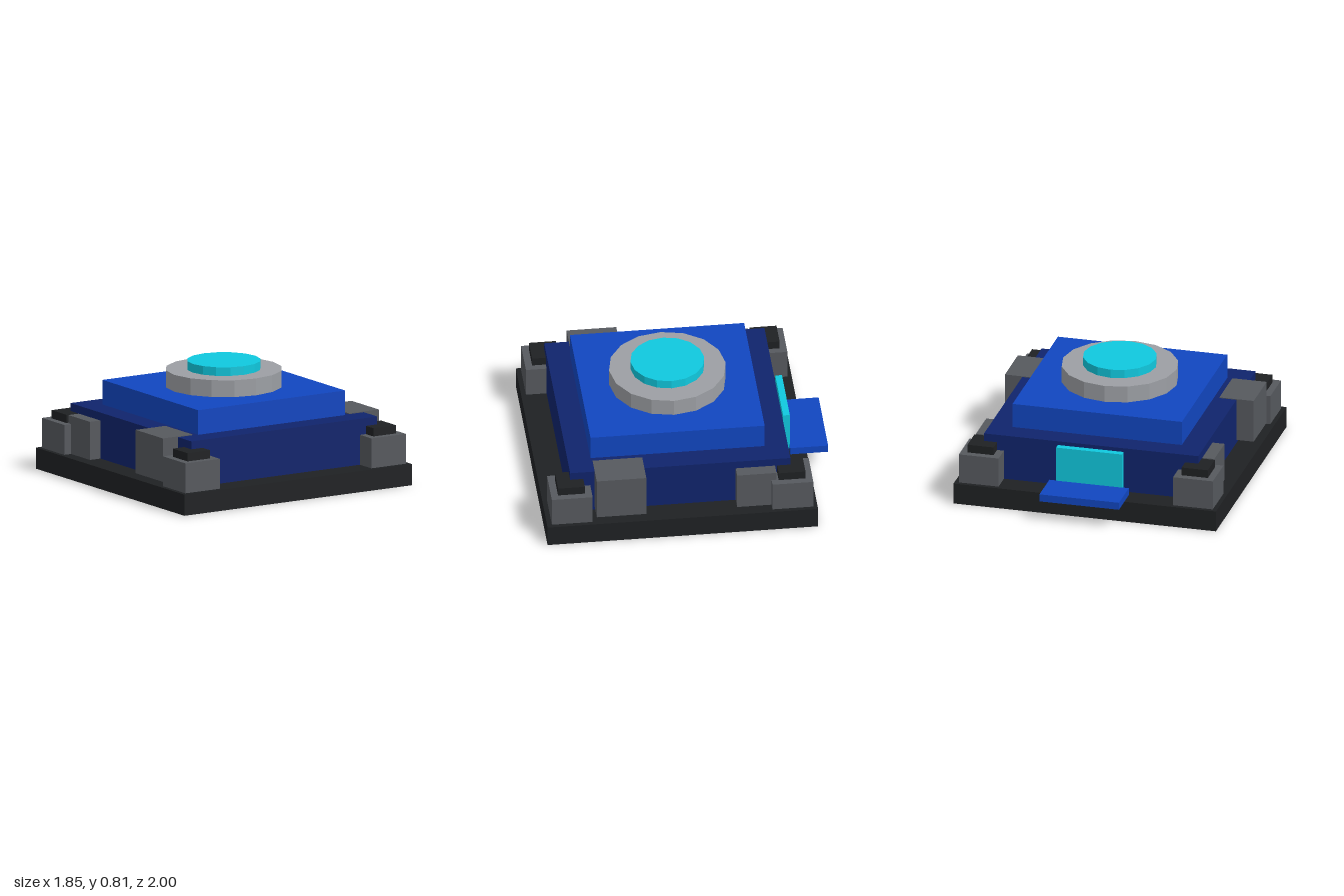
import * as THREE from 'three';

const mat = (color) => new THREE.MeshStandardMaterial({ color, flatShading: true });

export function createModel() {
  const model = new THREE.Group();
  const black = mat(0x1f2123), grey = mat(0x56595e), navy = mat(0x10246c);
  const blue = mat(0x1146c0), silver = mat(0x9c9fa4), cyan = mat(0x10c8de);

  const add = (name, geometry, material, x, y, z) => {
    const mesh = new THREE.Mesh(geometry, material);
    mesh.name = name;
    mesh.position.set(x, y, z);
    model.add(mesh);
  };
  // Box given by its extents along each axis
  const box = (name, material, x0, x1, y0, y1, z0, z1) =>
    add(name, new THREE.BoxGeometry(x1 - x0, y1 - y0, z1 - z0), material,
      (x0 + x1) / 2, (y0 + y1) / 2, (z0 + z1) / 2);
  // Sixteen-sided disc standing on y0
  const disc = (name, material, r, y0, y1) =>
    add(name, new THREE.CylinderGeometry(r, r, y1 - y0, 16), material, 0, (y0 + y1) / 2, 0.07);

  // Stepped platform
  box('base', black, -0.925, 0.925, 0, 0.147, -0.855, 1);
  box('lowerTier', navy, -0.755, 0.755, 0.147, 0.467, -0.685, 0.825);
  box('upperTier', blue, -0.597, 0.597, 0.467, 0.638, -0.527, 0.667);

  // Round pad on top
  disc('padRing', silver, 0.4, 0.638, 0.755);
  disc('padLight', cyan, 0.253, 0.755, 0.815);

  // Corner posts with caps, and side blocks, mirrored left and right
  for (const s of [-1, 1]) {
    const side = s > 0 ? 'left' : 'right';
    const sideBox = (name, m, x0, x1, ...rest) =>
      box(side + name, m, Math.min(s * x0, s * x1), Math.max(s * x0, s * x1), ...rest);
    for (const [end, z] of [['Front', 0.827], ['Back', -0.686]]) {
      sideBox(end + 'Post', grey, 0.615, 0.895, 0.147, 0.355, z - 0.14, z + 0.14);
      sideBox(end + 'PostCap', black, 0.663, 0.847, 0.355, 0.412, z - 0.092, z + 0.092);
    }
    sideBox('FrontSideBlock', grey, 0.635, 0.877, 0.17, 0.472, 0.317, 0.657);
    sideBox('BackSideBlock', grey, 0.635, 0.84, 0.147, 0.412, -0.58, -0.31);
  }

  // Rear doorway and step
  box('rearDoor', cyan, -0.232, 0.232, 0.165, 0.445, -0.743, -0.697);
  box('rearStep', blue, -0.28, 0.28, 0.148, 0.2, -1, -0.74);

  return model;
}
